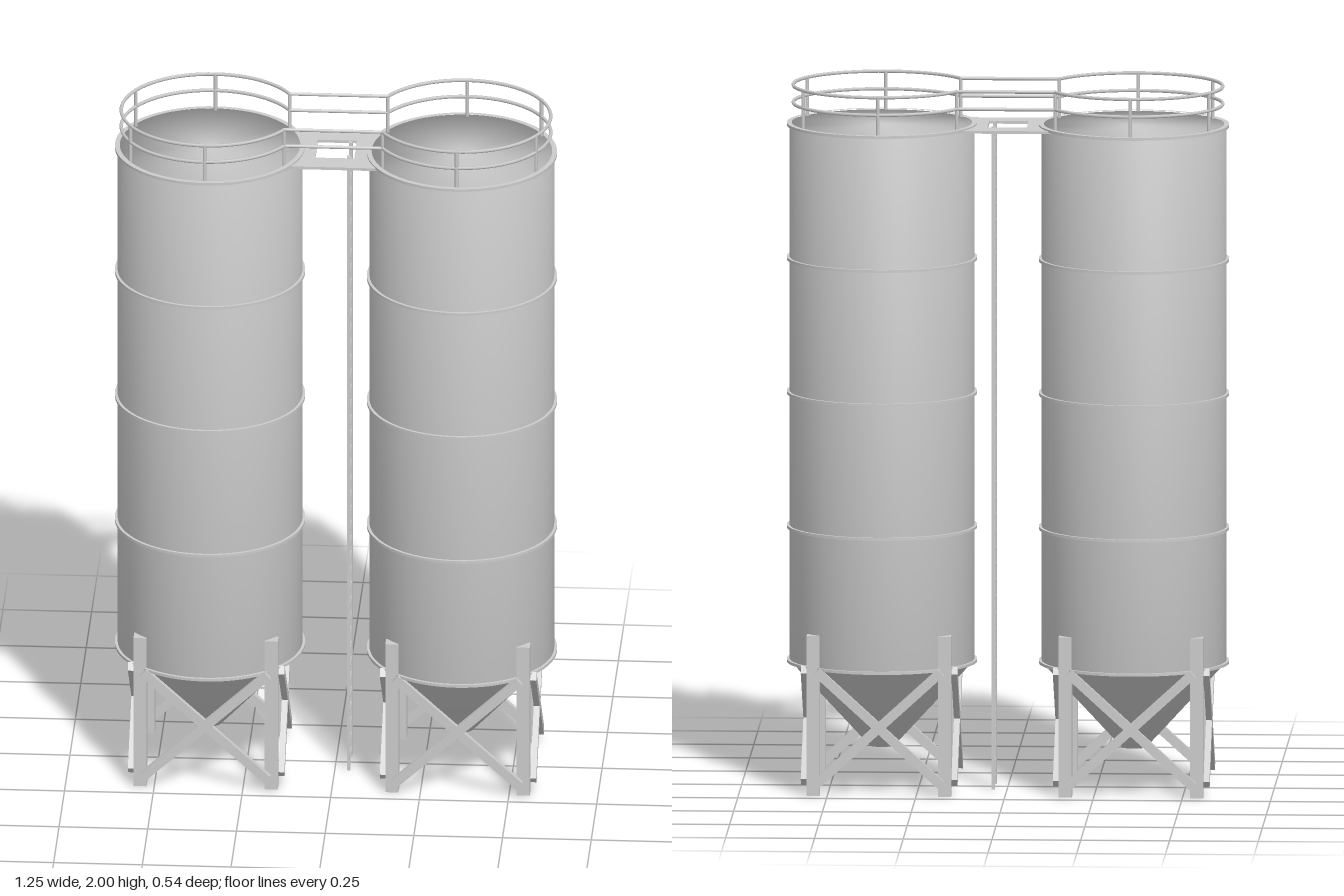
import * as THREE from 'three';

const mat = new THREE.MeshStandardMaterial({ color: 0xcccccc });
const R = 0.26, TOP = 1.885, BASE = 0.36, CX = 0.355, RAIL_R = 0.25;

function add(parent, name, geometry, x = 0, y = 0, z = 0) {
  const mesh = new THREE.Mesh(geometry, mat);
  mesh.name = name;
  mesh.position.set(x, y, z);
  parent.add(mesh);
  return mesh;
}

const box = (w, h, d) => new THREE.BoxGeometry(w, h, d);
const lathe = (pts, n = 64) =>
  new THREE.LatheGeometry(pts.map(p => new THREE.Vector2(p[0], p[1])), n);

// Four legs with crossed flat bars on each outer face
function createStand() {
  const stand = new THREE.Group();
  stand.name = 'stand';
  const half = 0.185, y0 = 0.035, y1 = 0.355;
  const length = Math.hypot(2 * half - 0.02, y1 - y0);
  const tilt = Math.atan2(y1 - y0, 2 * half - 0.02);
  for (let i = 0; i < 4; i++) {
    const side = new THREE.Group();
    side.name = 'standSide';
    side.rotation.y = i * Math.PI / 2;
    add(side, 'leg', box(0.037, 0.455, 0.037), half, 0.2275, half);
    for (const s of [-1, 1]) {
      const brace = add(side, 'crossBrace', box(length, 0.026, 0.017), 0, (y0 + y1) / 2, 0.212);
      brace.rotation.z = s * tilt;
    }
    stand.add(side);
  }
  return stand;
}

// Curved guard rail, open by 60 degrees towards +x for the bridge
function createGuardRail() {
  const rail = new THREE.Group();
  rail.name = 'guardRail';
  for (const y of [1.945, 1.995]) {
    const arc = new THREE.TorusGeometry(RAIL_R, 0.005, 6, 60, Math.PI * 5 / 3);
    arc.rotateZ(Math.PI / 6);
    arc.rotateX(Math.PI / 2);
    add(rail, 'curvedRail', arc, 0, y, 0);
  }
  for (let i = 0; i < 6; i++) {
    const a = Math.PI / 6 + i * Math.PI / 3;
    add(rail, 'railPost', new THREE.CylinderGeometry(0.005, 0.005, 0.115, 8),
      RAIL_R * Math.cos(a), TOP + 0.0555, RAIL_R * Math.sin(a));
  }
  return rail;
}

function createSilo() {
  const silo = new THREE.Group();
  silo.name = 'silo';
  // Normals blend softly over the rims of the tank
  add(silo, 'tank', lathe([[0, BASE], [R, BASE], [R, TOP], [0, TOP]]));
  add(silo, 'hopper', lathe([[0, 0.115], [0.035, 0.115], [R, BASE]]));
  // Hoops around the tank
  for (let i = 0; i < 5; i++) {
    const y = BASE + (TOP - BASE) * i / 4;
    const h = 0.005, r = 0.268;
    add(silo, 'hoop', lathe([[R - 0.006, y - h], [r, y - h], [r, y - h], [r, y + h * 0.6],
      [r, y + h * 0.6], [R - 0.006, y + h * 0.6]]));
  }
  silo.add(createStand(), createGuardRail());
  return silo;
}

// Walkway with a hatch, and straight rails joining the two guard rails
function createBridge() {
  const bridge = new THREE.Group();
  bridge.name = 'bridge';
  const w = 0.135, d = 0.128, hx = 0.055, hz = 0.062;
  const shape = new THREE.Shape([[-w, -d], [w, -d], [w, d], [-w, d]].map(p => new THREE.Vector2(...p)));
  shape.holes.push(new THREE.Path([[-hx, -hz], [-hx, hz], [hx, hz], [hx, -hz]].map(p => new THREE.Vector2(...p))));
  const deck = new THREE.ExtrudeGeometry(shape, { depth: 0.008, bevelEnabled: false });
  deck.rotateX(-Math.PI / 2);
  add(bridge, 'walkway', deck, 0, TOP - 0.009, 0);
  const span = 2 * (CX - RAIL_R * Math.cos(Math.PI / 6));
  for (const z of [-0.125, 0.125]) {
    for (const y of [1.945, 1.995]) {
      const bar = add(bridge, 'straightRail', new THREE.CylinderGeometry(0.005, 0.005, span, 8), 0, y, z);
      bar.rotation.z = Math.PI / 2;
    }
  }
  return bridge;
}

// Ladder from the ground up to the hatch
function createLadder() {
  const ladder = new THREE.Group();
  ladder.name = 'ladder';
  ladder.position.x = 0.039;
  for (const z of [-0.05, 0.05]) {
    add(ladder, 'ladderRail', box(0.01, TOP, 0.015), 0, TOP / 2, z);
  }
  for (let y = 0.025; y < TOP - 0.01; y += 0.0465) {
    const rung = add(ladder, 'rung', new THREE.CylinderGeometry(0.004, 0.004, 0.1, 8), 0, y, 0);
    rung.rotation.x = Math.PI / 2;
  }
  return ladder;
}

export function createModel() {
  const model = new THREE.Group();
  model.name = 'twinSilos';
  for (const s of [-1, 1]) {
    const silo = createSilo();
    silo.position.x = s * CX;
    if (s > 0) silo.rotation.y = Math.PI;
    model.add(silo);
  }
  model.add(createBridge(), createLadder());
  return model;
}
